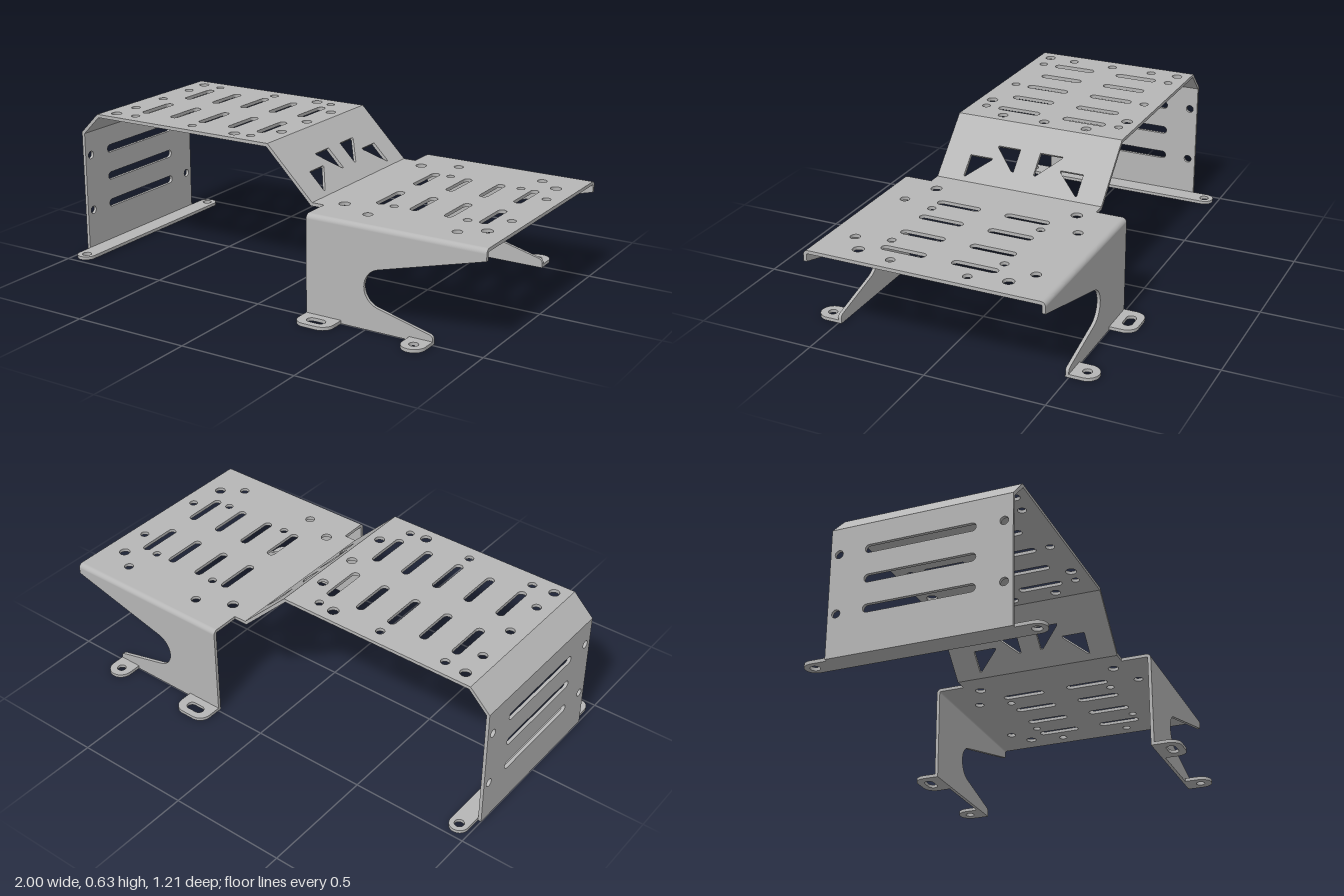
import * as THREE from 'three';

const T = 0.014;               // sheet thickness
const R = 0.02;                // outer radius of the side bends
const HALF = 0.37;             // half width of the narrow sheet
const WIDE = 0.5;              // half width of the lower deck

const steel = new THREE.MeshStandardMaterial({ color: 0xb6b6b6 });
steel.name = 'bare steel';

function mesh(name, geometry) {
  const m = new THREE.Mesh(geometry, steel);
  m.name = name;
  return m;
}

const extrude = (shape, depth = T) =>
  new THREE.ExtrudeGeometry(shape, { depth, bevelEnabled: false, curveSegments: 12 });

const polygon = (pts) => new THREE.Shape(pts.map(([x, y]) => new THREE.Vector2(x, y)));

const roundHole = (x, y, r) => new THREE.Path().absarc(x, y, r, 0, Math.PI * 2);

// Slot running between two end-arc centres, along the first or second axis
function slot(x0, y0, x1, y1, r) {
  const a = Math.atan2(y1 - y0, x1 - x0);
  return new THREE.Path()
    .absarc(x1, y1, r, a - Math.PI / 2, a + Math.PI / 2)
    .absarc(x0, y0, r, a + Math.PI / 2, a + Math.PI * 1.5)
    .closePath();
}

// Flat panel from p to q in the x-y plane, with mitred ends; outer face on the path
function panel(name, p, q, outline, holes, miter0, miter1) {
  const u = new THREE.Vector3(q[0] - p[0], q[1] - p[1], 0);
  const len = u.length();
  u.normalize();
  const v = new THREE.Vector3(0, 0, -1);
  const n = new THREE.Vector3().crossVectors(u, v);
  const shape = polygon(outline || [[0, -HALF], [len, -HALF], [len, HALF], [0, HALF]]);
  shape.holes.push(...holes);
  const g = extrude(shape);
  g.translate(0, 0, -T);
  const pos = g.attributes.position;
  for (let i = 0; i < pos.count; i++) {
    if (pos.getZ(i) > -T / 2) continue;
    const x = pos.getX(i);
    if (x < 1e-5) pos.setX(i, x + T * miter0);
    else if (x > len - 1e-5) pos.setX(i, x - T * miter1);
  }
  g.applyMatrix4(new THREE.Matrix4().makeBasis(u, v, n).setPosition(p[0], p[1], 0));
  g.computeVertexNormals();
  return mesh(name, g);
}

// Horizontal tab with rounded outer corners, centred on x = 0
function tab(name, w, r, hole) {
  const s = new THREE.Shape();
  const z0 = WIDE - T, z1 = 0.605;
  s.moveTo(-w / 2, z0);
  s.lineTo(w / 2, z0);
  s.absarc(w / 2 - r, z1 - r, r, 0, Math.PI / 2);
  s.absarc(-w / 2 + r, z1 - r, r, Math.PI / 2, Math.PI);
  s.closePath();
  s.holes.push(hole);
  return mesh(name, extrude(s).rotateX(Math.PI / 2).translate(0, T, 0));
}

export function createModel() {
  const model = new THREE.Group();
  model.name = 'sheet metal bracket';
  const K = Math.tan(Math.PI / 8);
  const path = [[-1, 0], [-1, 0.54], [-0.91, 0.63], [-0.035, 0.63], [0.175, 0.42], [1, 0.42]];

  // End wall with three long slots and four bolt holes
  const wallHoles = [0.18, 0.305, 0.43].map((y) => slot(y, -0.208, y, 0.208, 0.017));
  for (const y of [0.18, 0.43]) for (const s of [-1, 1]) wallHoles.push(roundHole(y, s * 0.335, 0.017));
  model.add(panel('endWall', path[0], path[1], null, wallHoles, 0, K));
  model.add(panel('endChamfer', path[1], path[2], null, [], K, K));

  // Upper deck: slots in two rows, holes around them
  const upper = [];
  const ux = path[2][0], lx = path[4][0];
  for (const s of [-1, 1]) {
    for (const x of [-0.754, -0.605, -0.455, -0.305, -0.16])
      upper.push(slot(x - ux, s * 0.073, x - ux, s * 0.227, 0.018));
    for (const [x, z, r] of [[-0.85, 0.313, 0.022], [-0.754, 0.305, 0.018], [-0.455, 0.305, 0.018],
      [-0.235, 0.313, 0.023], [-0.16, 0.305, 0.017], [-0.845, 0.19, 0.019], [-0.087, 0.19, 0.021]])
      upper.push(roundHole(x - ux, s * z, r));
  }
  upper.push(roundHole(-0.845 - ux, 0, 0.019), roundHole(-0.087 - ux, 0, 0.021));
  model.add(panel('upperDeck', path[2], path[3], null, upper, K, K));

  // Sloping panel with triangular cut-outs
  const triangles = [];
  for (const s of [-1, 1]) {
    triangles.push(polygon([[0.177, s * 0.255], [0.177, s * 0.155], [0.184, s * 0.155], [0.274, s * 0.248], [0.274, s * 0.255]]));
    triangles.push(polygon([[0.117, s * 0.045], [0.117, s * 0.145], [0.124, s * 0.145], [0.219, s * 0.055], [0.219, s * 0.045]]));
  }
  model.add(panel('slope', path[3], path[4], null, triangles, K, -K));

  // Lower deck with a narrower neck
  const lower = [];
  for (const s of [-1, 1]) {
    for (const x of [0.405, 0.555, 0.705, 0.855])
      lower.push(slot(x - lx, s * 0.073, x - lx, s * 0.227, 0.018));
    for (const [x, z, r] of [[0.29, 0.313, 0.023], [0.435, 0.38, 0.02], [0.82, 0.38, 0.02],
      [0.91, 0.313, 0.023], [0.47, 0.238, 0.017], [0.79, 0.238, 0.017], [0.937, 0.16, 0.018]])
      lower.push(roundHole(x - lx, s * z, r));
  }
  const neck = 0.23 - lx, end = 1 - lx, W = WIDE - R;
  model.add(panel('lowerDeck', path[4], path[5],
    [[0, -HALF], [neck, -HALF], [neck, -W], [end, -W], [end, W], [neck, W], [neck, HALF], [0, HALF]],
    lower, -K, 0));

  // Foot strip under the end wall, with rounded, drilled ends
  const strip = new THREE.Shape();
  const fr = 0.041, fz = 0.439;
  strip.absarc(0, fz, fr, 0, Math.PI);
  strip.absarc(0, -fz, fr, Math.PI, Math.PI * 2);
  strip.closePath();
  strip.holes.push(roundHole(0, fz, 0.02), roundHole(0, -fz, 0.02));
  model.add(mesh('endFoot', extrude(strip).rotateX(Math.PI / 2).translate(-0.945, T, 0)));

  // Notched side wall
  const side = new THREE.Shape();
  const a = THREE.MathUtils.degToRad(106);
  side.moveTo(0.23, 0);
  side.lineTo(0.79, 0);
  side.lineTo(0.79, 0.022);
  side.quadraticCurveTo(0.79, 0.036, 0.775, 0.04);
  side.absarc(0.57, 0.175, 0.08, Math.PI * 2 - a, a, true);
  side.lineTo(1, 0.373);
  side.lineTo(1, 0.42 - R);
  side.lineTo(0.23, 0.42 - R);
  side.closePath();

  // Quarter-round bend between deck and side wall
  const bend = new THREE.Shape();
  bend.absarc(-W, 0.42 - R, R, Math.PI / 2, Math.PI);
  bend.absarc(-W, 0.42 - R, R - T, Math.PI, Math.PI / 2, true);
  bend.closePath();

  for (const s of [1, -1]) {
    const tag = s > 0 ? 'front' : 'back';
    const wall = mesh(tag + 'SideWall', extrude(side));
    wall.position.z = s > 0 ? WIDE - T : -WIDE;
    const edge = mesh(tag + 'Bend', extrude(bend, 0.77).rotateY(Math.PI / 2).translate(-0.385, 0, 0));
    edge.position.x = 0.615;
    const slotted = tab(tag + 'SlottedFoot', 0.16, 0.05, slot(-0.02, 0.555, 0.02, 0.555, 0.021));
    slotted.position.x = 0.31;
    const drilled = tab(tag + 'DrilledFoot', 0.1, 0.0499, roundHole(0, 0.555, 0.019));
    drilled.position.x = 0.74;
    for (const m of [edge, slotted, drilled]) m.rotation.y = s > 0 ? 0 : Math.PI;
    model.add(wall, edge, slotted, drilled);
  }
  return model;
}
